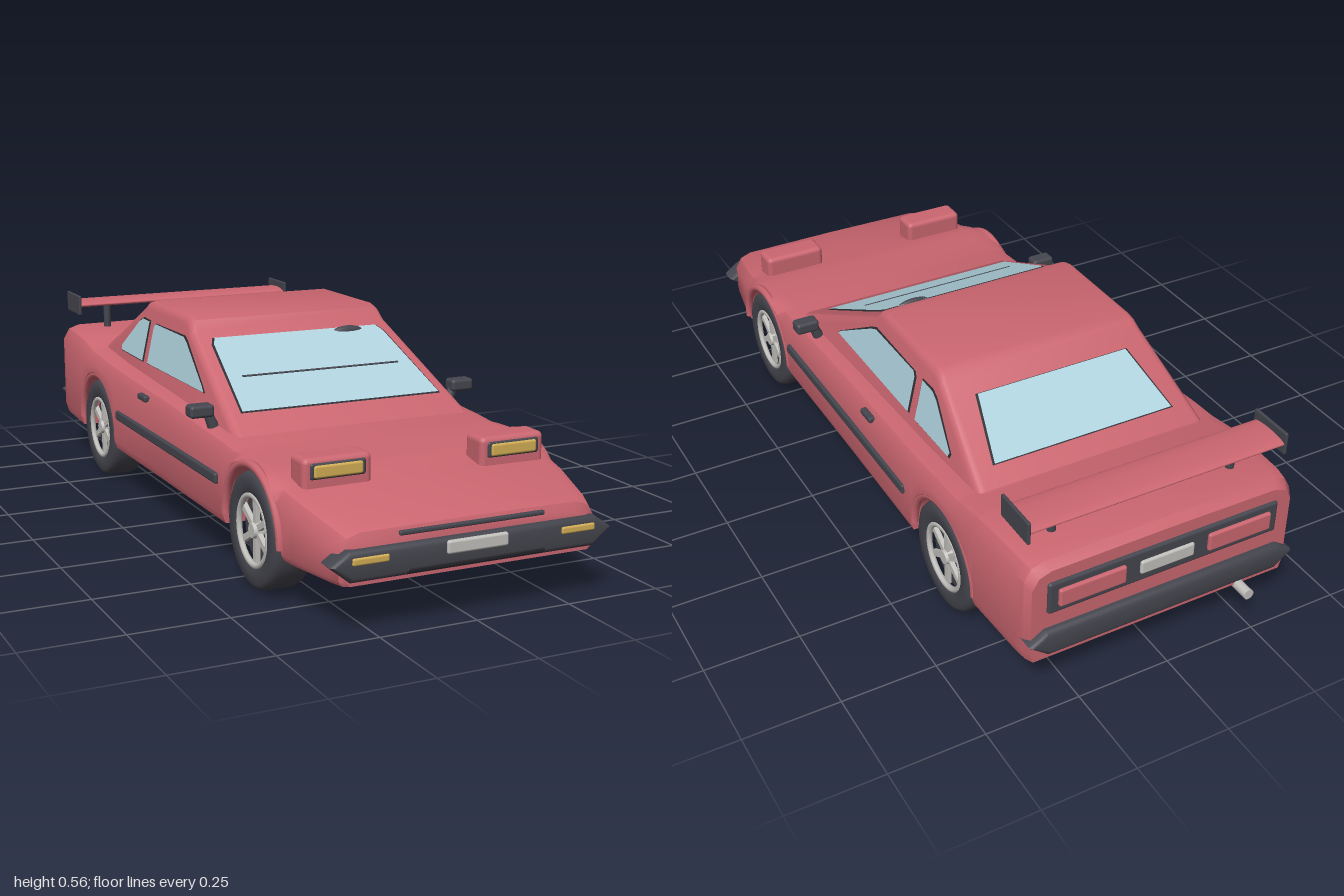
import * as THREE from 'three';
import { toCreasedNormals } from 'three/addons/utils/BufferGeometryUtils.js';
import { RoundedBoxGeometry } from 'three/addons/geometries/RoundedBoxGeometry.js';

function material(name, color, side = THREE.FrontSide) {
  const m = new THREE.MeshStandardMaterial({ color, side });
  m.name = name;
  return m;
}

export function createModel() {
  const car = new THREE.Group();
  car.name = 'sportsCar';
  const red = material('red paint', 0xcb6670);
  const dark = material('dark trim', 0x45454e);
  const black = material('underbody black', 0x25252a);
  const glass = material('pale blue glass', 0xb0d3de, THREE.DoubleSide);
  const seal = material('window seal', 0x303036, THREE.DoubleSide);
  const amber = material('amber lamp', 0xd2ad55);
  const metal = material('light metal', 0xc2c0bc);

  function add(name, geometry, mat, x = 0, y = 0, z = 0, parent = car) {
    const m = new THREE.Mesh(geometry, mat);
    m.name = name;
    m.position.set(x, y, z);
    parent.add(m);
    return m;
  }
  // Rounded block given by its limits
  function block(name, mat, x0, x1, y0, y1, z0, z1, r = 0.008) {
    return add(name, new RoundedBoxGeometry(x1 - x0, y1 - y0, z1 - z0, 3, r), mat,
      (x0 + x1) / 2, (y0 + y1) / 2, (z0 + z1) / 2);
  }

  // Lower body: cross-sections from nose to tail, the underside lifted over the wheels
  const axles = [0.59, -0.555], axleY = 0.145, archR = 0.16;
  const stations = [ // z, top height, half width
    [0.975, 0.215, 0.32], [0.965, 0.238, 0.335], [0.93, 0.25, 0.345], [0.8, 0.28, 0.37],
    [0.65, 0.307, 0.385], [0.4, 0.327, 0.385], [0, 0.348, 0.385], [-0.4, 0.363, 0.388],
    [-0.62, 0.378, 0.388], [-0.72, 0.397, 0.385], [-0.9, 0.402, 0.375],
    [-0.935, 0.398, 0.37], [-0.955, 0.38, 0.36]];
  const zs = stations.map(s => s[0]);
  for (const c of axles) {
    zs.push(c + archR + 0.0005, c - archR - 0.0005);
    for (let i = 0; i <= 18; i++) zs.push(c + archR * 0.9999 * Math.cos(Math.PI * i / 18));
  }
  zs.sort((a, b) => b - a);
  function section(z) {
    let i = 0;
    while (i < stations.length - 2 && z < stations[i + 1][0]) i++;
    const [a, b] = [stations[i], stations[i + 1]];
    const k = (a[0] - z) / (a[0] - b[0]);
    const t = a[1] + (b[1] - a[1]) * k, w = a[2] + (b[2] - a[2]) * k;
    let low = 0.118;
    for (const c of axles) {
      if (Math.abs(z - c) < archR) low = axleY + Math.sqrt(archR ** 2 - (z - c) ** 2);
    }
    low = Math.min(low, t - 0.006);
    const d = Math.min(0.045, (t - low) * 0.6);
    const half = [[w - 0.05, t - d * 0.05], [w - 0.018, t - d * 0.3], [w, t - d],
      [w, low + (t - low) * 0.1], [w - 0.008, low]];
    return [[0, t], ...half, [0, low], ...half.map(p => [-p[0], p[1]]).reverse()];
  }
  const pos = [], idx = [];
  const n = 12;
  zs.forEach((z, i) => {
    section(z).forEach(([x, y]) => pos.push(x, y, z));
    if (i === zs.length - 1) return;
    for (let j = 0; j < n; j++) {
      const a = i * n + j, b = i * n + (j + 1) % n;
      idx.push(a, b, a + n, b, b + n, a + n);
    }
  });
  const last = (zs.length - 1) * n;
  for (let j = 1; j < n - 1; j++) idx.push(0, j + 1, j, last, last + j, last + j + 1);
  const hull = new THREE.BufferGeometry();
  hull.setAttribute('position', new THREE.Float32BufferAttribute(pos, 3));
  hull.setIndex(idx);
  add('lowerBody', toCreasedNormals(hull, 0.6), red);
  block('floorPan', black, -0.27, 0.27, 0.095, 0.24, -0.76, 0.78);

  // Cabin: side outline extruded across and narrowed towards the roof
  const taper = y => 1 - (y - 0.33) * 0.66;
  const sideX = y => 0.335 * taper(y);
  const outline = new THREE.Shape([[0.43, 0.3], [0.4, 0.327], [0, 0.52], [-0.025, 0.548],
    [-0.055, 0.557], [-0.34, 0.556], [-0.365, 0.549], [-0.385, 0.532], [-0.64, 0.383], [-0.68, 0.3]]
    .map(p => new THREE.Vector2(...p)));
  const cabin = new THREE.ExtrudeGeometry(outline, { depth: 0.63, bevelEnabled: true,
    bevelSize: 0.02, bevelOffset: -0.02, bevelThickness: 0.02, bevelSegments: 3 });
  cabin.translate(0, 0, -0.315).rotateY(-Math.PI / 2);
  const cp = cabin.attributes.position;
  for (let i = 0; i < cp.count; i++) cp.setX(i, cp.getX(i) * taper(cp.getY(i)));
  add('cabin', toCreasedNormals(cabin, 0.5), red);

  // Window: flat pane lifted off the cabin, over a slightly larger dark seal
  function pane(name, points, normal) {
    const nv = new THREE.Vector3(...normal).normalize();
    const pts = points.map(p => new THREE.Vector3(...p));
    const mid = pts.reduce((s, p) => s.add(p), new THREE.Vector3()).divideScalar(pts.length);
    for (const [label, mat, grow, lift] of [['Seal', seal, 0.006, 0.003], ['Glass', glass, 0, 0.006]]) {
      const ring = pts.map(p => p.clone().addScaledVector(p.clone().sub(mid).normalize(), grow)
        .addScaledVector(nv, lift));
      const g = new THREE.BufferGeometry().setFromPoints(ring);
      const f = [];
      for (let i = 1; i < ring.length - 1; i++) f.push(0, i, i + 1);
      // Wind the face outwards
      const out = ring[1].clone().sub(ring[0]).cross(ring[2].clone().sub(ring[0])).dot(nv) > 0;
      g.setIndex(out ? f : f.reverse());
      g.computeVertexNormals();
      add(name + label, g, mat);
    }
  }
  pane('windscreen', [[-0.285, 0.365, 0.321], [0.285, 0.365, 0.321], [0.255, 0.49, 0.062],
    [0.243, 0.503, 0.035], [-0.243, 0.503, 0.035], [-0.255, 0.49, 0.062]], [0, 0.9, 0.434]);
  pane('rearWindow', [[0.255, 0.412, -0.59], [-0.255, 0.412, -0.59],
    [-0.215, 0.506, -0.43], [0.215, 0.506, -0.43]], [0, 0.863, -0.505]);
  for (const s of [1, -1]) {
    const side = pts => pts.map(([z, y]) => [s * sideX(y), y, z]);
    pane('doorWindow', side([[0.165, 0.39], [0.15, 0.402], [-0.01, 0.492], [-0.035, 0.502],
      [-0.255, 0.502], [-0.265, 0.49], [-0.265, 0.39]]), [s, 0.221, 0]);
    pane('quarterWindow', side([[-0.305, 0.39], [-0.305, 0.502], [-0.36, 0.502],
      [-0.385, 0.49], [-0.49, 0.405], [-0.485, 0.392]]), [s, 0.221, 0]);
  }
  const wiper = add('wiper', new THREE.BoxGeometry(0.46, 0.005, 0.006), dark, 0, 0.431, 0.196);
  wiper.rotation.x = 0.45;
  const pod = add('screenTopPod', new THREE.SphereGeometry(0.05, 20, 10, 0, Math.PI * 2, 0, Math.PI / 2),
    dark, 0.153, 0.494, 0.045);
  pod.scale.set(1, 0.4, 0.25);

  // Bumpers: hexagonal bars with pointed ends
  function bumper(name, w, y0, y1, z0, z1) {
    const ym = (y0 + y1) / 2 + 0.005, b = 0.012;
    const shape = new THREE.Shape([[-w, ym], [-w + 0.05, y0], [w - 0.05, y0], [w, ym],
      [w - 0.045, y1], [-w + 0.045, y1]].map(p => new THREE.Vector2(...p)));
    const g = new THREE.ExtrudeGeometry(shape, { depth: z1 - z0 - 2 * b, bevelEnabled: true,
      bevelSize: b, bevelOffset: -b, bevelThickness: b, bevelSegments: 3 });
    add(name, toCreasedNormals(g, 0.6), dark, 0, 0, z0 + b);
  }
  bumper('frontBumper', 0.367, 0.13, 0.203, 0.932, 0.994);
  bumper('rearBumper', 0.372, 0.143, 0.212, -0.977, -0.918);
  block('frontPlate', metal, -0.08, 0.08, 0.166, 0.198, 0.985, 1, 0.006);
  block('noseSlot', dark, -0.19, 0.19, 0.218, 0.229, 0.955, 0.977, 0.004);
  block('bumperGroove', black, -0.18, 0.18, 0.135, 0.147, 0.98, 0.996, 0.004);

  // Tail panel
  block('tailPanel', dark, -0.32, 0.32, 0.255, 0.345, -0.963, -0.94);
  block('rearPlate', metal, -0.075, 0.075, 0.28, 0.318, -0.97, -0.95, 0.006);

  for (const s of [1, -1]) {
    const pair = (name, mat, x0, x1, ...rest) =>
      block(name, mat, Math.min(s * x0, s * x1), Math.max(s * x0, s * x1), ...rest);
    // Lamps
    pair('headlampPod', red, 0.147, 0.325, 0.26, 0.355, 0.688, 0.764, 0.014);
    pair('headlampBezel', dark, 0.164, 0.309, 0.304, 0.344, 0.75, 0.768, 0.007);
    pair('headlamp', amber, 0.173, 0.3, 0.308, 0.339, 0.755, 0.772, 0.006);
    pair('indicator', amber, 0.225, 0.317, 0.171, 0.189, 0.982, 0.998, 0.005);
    pair('tailLamp', red, 0.115, 0.295, 0.275, 0.325, -0.972, -0.95, 0.006);
    // Side trim and mirrors
    pair('sideMoulding', dark, 0.375, 0.395, 0.212, 0.24, -0.36, 0.4, 0.006);
    pair('doorHandle', dark, 0.375, 0.393, 0.313, 0.33, -0.17, -0.112, 0.005);
    pair('mirror', dark, 0.347, 0.413, 0.355, 0.388, 0.25, 0.293, 0.009);
    const arm = add('mirrorArm', new THREE.CylinderGeometry(0.011, 0.016, 0.06, 12), dark, s * 0.354, 0.35, 0.272);
    arm.rotation.z = -s * 0.4;
    // Wing supports and end plates
    add('wingStrut', new THREE.CylinderGeometry(0.011, 0.011, 0.085, 14), dark, s * 0.25, 0.433, -0.85);
    pair('wingEndPlate', dark, 0.348, 0.357, 0.448, 0.508, -0.925, -0.802, 0.003);
  }
  const wing = add('wing', new THREE.CylinderGeometry(0.058, 0.058, 0.7, 28), red, 0, 0.477, -0.865);
  wing.geometry.rotateZ(Math.PI / 2);
  wing.scale.set(1, 0.19, 1);

  // Exhaust
  const pipe = add('exhaustPipe', new THREE.CylinderGeometry(0.014, 0.014, 0.22, 18), metal, -0.23, 0.115, -0.89);
  pipe.rotation.x = Math.PI / 2;

  // Wheels with arch lips; the wheel is built about +y, then turned outwards
  const tyreProfile = [[0.088, 0.044], [0.098, 0.05], [0.13, 0.05], [0.14, 0.044], [0.145, 0.03],
    [0.145, -0.03], [0.14, -0.044], [0.13, -0.05], [0.09, -0.05]]
    .map(p => new THREE.Vector2(...p)).reverse();
  const tyreGeo = toCreasedNormals(new THREE.LatheGeometry(tyreProfile, 40), 0.7);
  const ringGeo = new THREE.TorusGeometry(0.086, 0.008, 8, 36).rotateX(Math.PI / 2);
  for (const s of [1, -1]) {
    for (const z of axles) {
      const wheel = new THREE.Group();
      wheel.name = 'wheel';
      wheel.position.set(s * 0.331, axleY, z);
      wheel.rotation.z = -s * Math.PI / 2;
      car.add(wheel);
      add('tyre', tyreGeo, dark, 0, 0, 0, wheel);
      add('wheelDisc', new THREE.CylinderGeometry(0.092, 0.092, 0.07, 32), dark, 0, -0.012, 0, wheel);
      add('rim', ringGeo, metal, 0, 0.042, 0, wheel);
      add('hub', new THREE.CylinderGeometry(0.018, 0.024, 0.024, 18), metal, 0, 0.036, 0, wheel);
      for (let i = 0; i < 6; i++) {
        const spoke = add('spoke', new THREE.BoxGeometry(0.075, 0.012, 0.016).translate(0.048, 0, 0),
          metal, 0, 0.034, 0, wheel);
        spoke.rotation.y = i * Math.PI / 3;
      }
      const lip = add('archLip', new THREE.TorusGeometry(archR + 0.002, 0.011, 8, 32, Math.PI), red, s * 0.377, axleY, z);
      lip.rotation.y = Math.PI / 2;
    }
  }
  return car;
}
